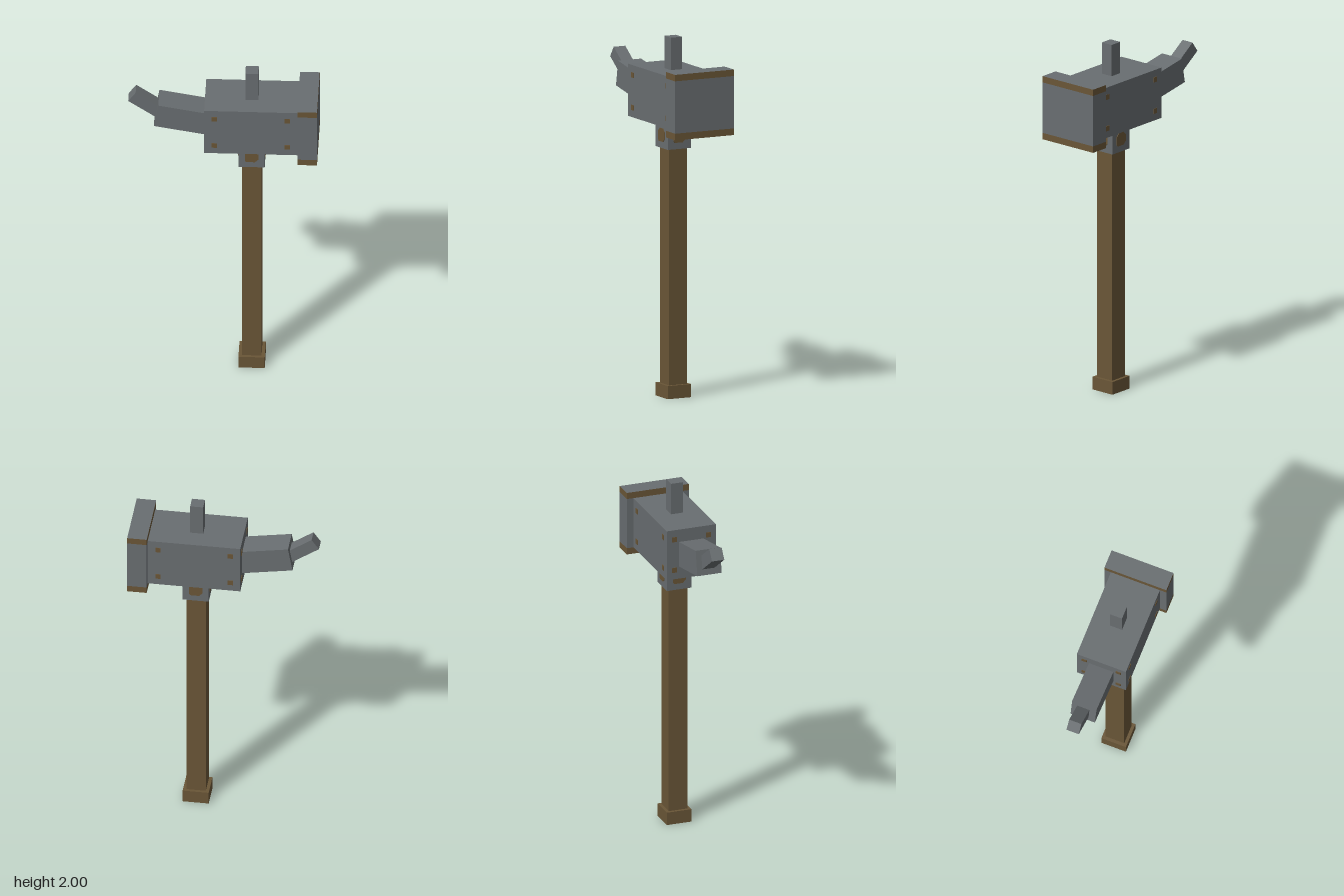
import * as THREE from 'three';

export function createModel() {
  const steel = new THREE.MeshStandardMaterial({ color: 0x696e71 });
  steel.name = 'steel grey';
  const wood = new THREE.MeshStandardMaterial({ color: 0x6a5637 });
  wood.name = 'wood brown';

  const model = new THREE.Group();
  model.name = 'warHammer';
  const axisX = 0.157; // centre line of the handle

  // Box given by its limits in x and y, and its half depth in z
  const block = (name, mat, x0, x1, y0, y1, halfZ) => {
    const mesh = new THREE.Mesh(new THREE.BoxGeometry(x1 - x0, y1 - y0, halfZ * 2), mat);
    mesh.position.set((x0 + x1) / 2, (y0 + y1) / 2, 0);
    mesh.name = name;
    model.add(mesh);
    return mesh;
  };

  // Handle, pommel and collar
  block('pommel', wood, axisX - 0.072, axisX + 0.072, 0, 0.073, 0.072);
  block('handle', wood, axisX - 0.054, axisX + 0.054, 0.073, 1.385, 0.055);
  block('collar', steel, axisX - 0.072, axisX + 0.072, 1.385, 1.53, 0.072);

  // Hammer head and top spike
  block('head', steel, -0.1, 0.412, 1.53, 1.82, 0.144);
  block('topSpike', steel, axisX - 0.036, axisX + 0.036, 1.82, 2, 0.035);

  // Striking face with a painted band round its upper and lower edges
  const bandMaterials = [wood, wood, steel, steel, wood, wood];
  block('strikingFace', steel, 0.412, 0.52, 1.529, 1.82, 0.182);
  block('upperBand', bandMaterials, 0.412, 0.52, 1.82, 1.856, 0.182);
  block('lowerBand', bandMaterials, 0.412, 0.52, 1.492, 1.529, 0.182);

  // Bent claw: a box that runs from its outer end towards the head
  const clawPart = (name, endX, endY, length, height, depth, degrees, z) => {
    const geometry = new THREE.BoxGeometry(length, height, depth);
    geometry.translate(length / 2, 0, 0);
    const mesh = new THREE.Mesh(geometry, steel);
    mesh.position.set(endX, endY, z);
    mesh.rotation.z = THREE.MathUtils.degToRad(degrees);
    mesh.name = name;
    model.add(mesh);
  };
  clawPart('clawBase', -0.366, 1.721, 0.31, 0.143, 0.143, -10, -0.001);
  clawPart('clawTip', -0.5, 1.817, 0.19, 0.071, 0.072, -35, -0.005);

  // Thin painted plate turned about y so that it faces outwards
  const plate = (name, geometry, x, y, z, turn) => {
    const mesh = new THREE.Mesh(geometry, wood);
    mesh.position.set(x, y, z);
    mesh.rotation.y = turn;
    mesh.name = name;
    model.add(mesh);
  };

  // Rivets on the front, back and claw side of the head
  const rivet = new THREE.BoxGeometry(0.029, 0.029, 0.006);
  for (const y of [1.765, 1.584]) {
    for (const side of [1, -1]) {
      for (const x of [-0.045, 0.355]) plate('rivet', rivet, x, y, side * 0.144, 0);
      plate('rivet', rivet, -0.1, y, side * 0.1, Math.PI / 2);
    }
  }

  // Clipped square studs on the four sides of the collar
  const r = 0.037, c = 0.019;
  const outline = new THREE.Shape([
    [-r, -r + 0.008], [-r + 0.008, -r], [c, -r], [r, -c],
    [r, c], [c, r], [-c, r], [-r, c],
  ].map(([x, y]) => new THREE.Vector2(x, y)));
  const stud = new THREE.ExtrudeGeometry(outline, { depth: 0.004, bevelEnabled: false });
  for (let i = 0; i < 4; i++) {
    const turn = i * Math.PI / 2;
    plate('collarStud', stud, axisX + Math.sin(turn) * 0.071, 1.458, Math.cos(turn) * 0.071, turn);
  }

  return model;
}
